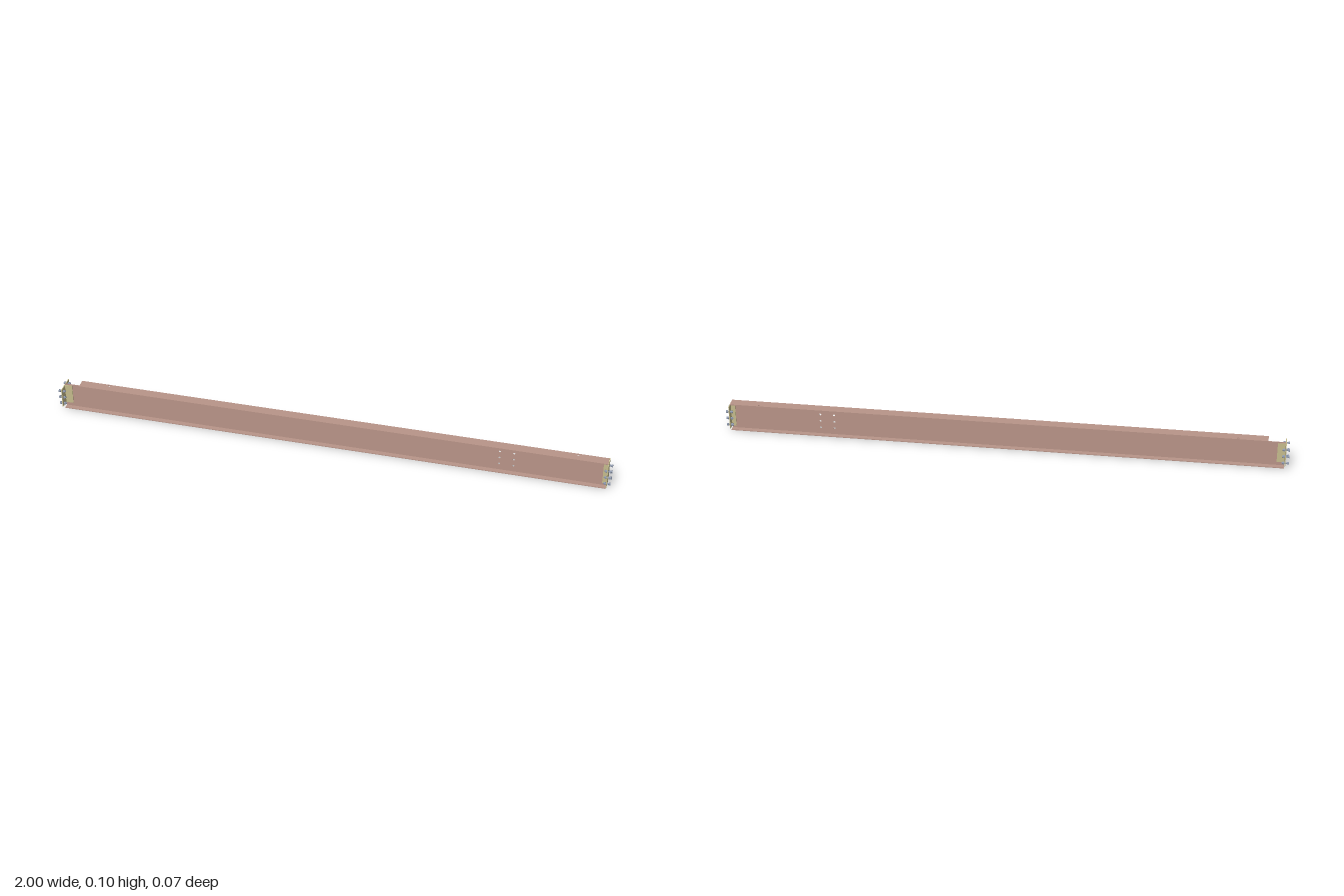
import * as THREE from 'three';

const steel = new THREE.MeshStandardMaterial({ color: 0xb89488 });
const cleat = new THREE.MeshStandardMaterial({ color: 0xc4bb8c });
const bolt = new THREE.MeshStandardMaterial({ color: 0x8b95a8 });

function add(parent, name, geometry, material, x = 0, y = 0, z = 0) {
  const mesh = new THREE.Mesh(geometry, material);
  mesh.name = name;
  mesh.position.set(x, y, z);
  parent.add(mesh);
  return mesh;
}

// Flat plate cut from an outline, with round holes, centred on its thickness
function plate(points, holes, radius, thickness) {
  const shape = new THREE.Shape(points.map(([x, y]) => new THREE.Vector2(x, y)));
  for (const [x, y] of holes) {
    shape.holes.push(new THREE.Path().absarc(x, y, radius, 0, Math.PI * 2, true));
  }
  return new THREE.ExtrudeGeometry(shape, { depth: thickness, bevelEnabled: false, curveSegments: 6 })
    .translate(0, 0, -thickness / 2);
}

// Hex bolt along x: outer head, shank and inner nut
function makeBolt(y, z) {
  const group = new THREE.Group();
  group.name = 'bolt';
  const parts = [['boltHead', 0.0055, 0.006, 6, 0.997], ['boltShank', 0.003, 0.024, 12, 0.987],
    ['boltNut', 0.0055, 0.005, 6, 0.9805]];
  for (const [name, r, length, sides, x] of parts) {
    const geometry = new THREE.CylinderGeometry(r, r, length, sides).toNonIndexed();
    geometry.rotateY(Math.PI / 6).rotateZ(Math.PI / 2);
    geometry.computeVertexNormals();
    add(group, name, geometry, bolt, x, y, z);
  }
  return group;
}

// Pair of angle cleats with bolts; modelled at the +x end
function makeConnection(name, y0, y1, reach, legLength, boltZ, boltYs) {
  const group = new THREE.Group();
  group.name = name;
  const t = 0.003, web = 0.001, outer = 0.988;
  for (const side of [1, -1]) {
    const profile = new THREE.Shape([
      [outer, web], [outer, reach], [outer - t, reach], [outer - t, web + t],
      [outer - legLength, web + t], [outer - legLength, web],
    ].map(([x, z]) => new THREE.Vector2(x, -side * z)));
    const geometry = new THREE.ExtrudeGeometry(profile, { depth: y1 - y0, bevelEnabled: false });
    geometry.rotateX(-Math.PI / 2);
    add(group, 'angleCleat', geometry, cleat, 0, y0, 0);
    for (const y of boltYs) group.add(makeBolt(y, side * boltZ));
  }
  return group;
}

export function createModel() {
  const model = new THREE.Group();
  model.name = 'steelBeam';
  const end = 0.985, cope = -0.925, height = 0.105, tf = 0.003, half = 0.018;

  // Web with coped upper corner and two columns of bolt holes
  const webHoles = [];
  for (const x of [0.61, 0.66]) for (const y of [0.027, 0.053, 0.079]) webHoles.push([x, y]);
  add(model, 'web', plate([
    [-end, tf], [end, tf], [end, height - tf], [cope, height - tf], [cope, 0.095], [-end, 0.095],
  ], webHoles, 0.004, 0.002), steel);

  // Flanges; the top one is shorter and drilled along one edge
  const flange = (x0, holes) =>
    plate([[x0, -half], [end, -half], [end, half], [x0, half]], holes, 0.004, tf).rotateX(-Math.PI / 2);
  add(model, 'bottomFlange', flange(-end, []), steel, 0, tf / 2);
  add(model, 'topFlange', flange(cope, [[-0.82, 0.011], [0.88, 0.011]]), steel, 0, height - tf / 2);

  // End connections
  model.add(makeConnection('leftConnection', 0.012, 0.1, 0.028, 0.018, 0.018, [0.023, 0.049, 0.075]));
  const right = makeConnection('rightConnection', 0.017, 0.09, 0.036, 0.03, 0.026, [0.027, 0.053, 0.079]);
  right.rotation.y = Math.PI;
  model.add(right);

  return model;
}
